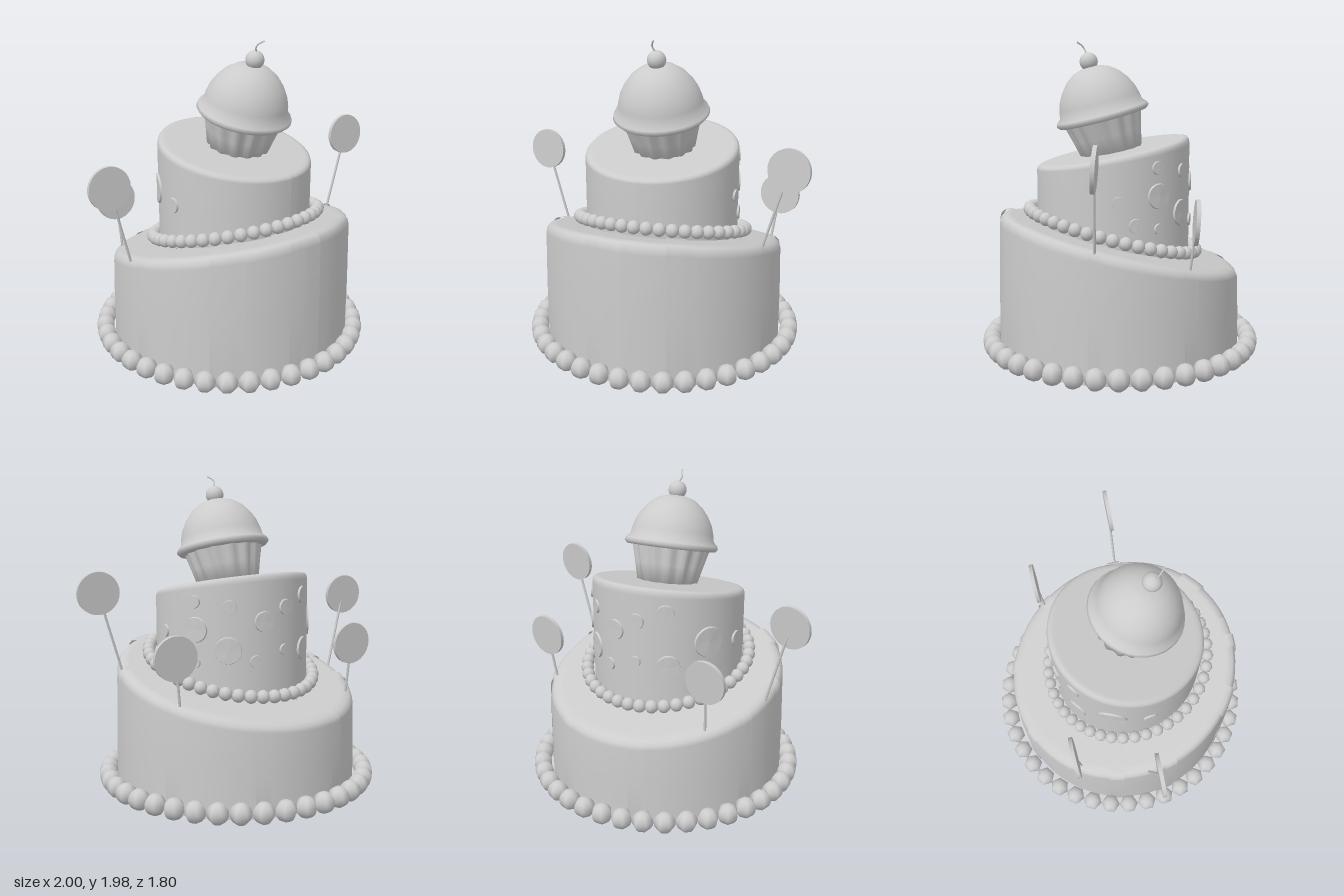
import * as THREE from 'three';

const mat = new THREE.MeshStandardMaterial({ color: 0xcccccc, side: THREE.DoubleSide });
const rad = THREE.MathUtils.degToRad;
const V = (x, y, z) => new THREE.Vector3(x, y, z);

function add(parent, name, geometry, x = 0, y = 0, z = 0) {
  const mesh = new THREE.Mesh(geometry, mat);
  mesh.name = name;
  mesh.position.set(x, y, z);
  parent.add(mesh);
  return mesh;
}

function lathe(points, segments, start = 0, length = Math.PI * 2) {
  return new THREE.LatheGeometry(points.map(p => new THREE.Vector2(...p)), segments, start, length);
}

// Moves every vertex by a rule
function warp(geometry, rule) {
  const p = geometry.attributes.position, v = V(0, 0, 0);
  for (let i = 0; i < p.count; i++) {
    rule(v.fromBufferAttribute(p, i));
    p.setXYZ(i, v.x, v.y, v.z);
  }
  geometry.computeVertexNormals();
  return geometry;
}

// Ring of icing beads lying on a plane that slopes along z
function beadRing(parent, name, count, ringR, beadR, center, slope, sides) {
  const ring = new THREE.Group();
  ring.name = name;
  ring.position.copy(center);
  const geometry = new THREE.SphereGeometry(beadR, sides, 10);
  for (let i = 0; i < count; i++) {
    const a = i / count * Math.PI * 2;
    const z = Math.cos(a) * ringR;
    add(ring, 'icingBead', geometry, Math.sin(a) * ringR, z * slope, z).rotation.y = a;
  }
  parent.add(ring);
}

export function createModel() {
  const cake = new THREE.Group();
  cake.name = 'tieredCake';

  // Lower tier: flat open base, top sloping down to the back
  const H = 0.72;
  const lean = v => { v.y += 0.245 * v.z * v.y / H; };
  const side = [[0.778, 0], [0.776, 0.35], [0.768, 0.66], [0.76, 0.69], [0.742, 0.71], [0.71, 0.72]];
  add(cake, 'lowerTier', warp(lathe([...side, [0.69, 0.72], [0, 0.72]], 64), lean), 0.01, 0, 0.01);

  // Raised fondant strips, folded over the edge of the lower tier
  const strips = [[-53, -38], [-17, -10], [20, 33], [69, 75], [111, 118],
    [151, 158], [190, 197], [242, 249], [270, 276]];
  const outer = [...side, [0.5, 0.72]].map(([r, y]) => [r + 0.009, y + (y > 0.6 ? 0.007 : 0)]);
  for (const [from, to] of strips) {
    const g = lathe([[0.76, 0], ...outer, [0.5, 0.71]], 4, rad(from), rad(to - from));
    add(cake, 'fondantStrip', warp(g, lean), 0.01, 0, 0.01);
  }

  // Upper tier: bottom follows the lower slope, top slopes the other way
  const upper = lathe([[0.49, 0], [0.49, 0.25], [0.49, 0.56], [0.486, 0.58], [0.474, 0.593],
    [0.455, 0.597], [0.44, 0.597], [0, 0.597]], 64);
  const UX = 0.013, UZ = 0.045, UY = 0.7;
  add(cake, 'upperTier', warp(upper, v => { v.y += v.z * THREE.MathUtils.lerp(0.24, -0.2, v.y / 0.597); }), UX, UY, UZ);

  // Bead borders
  beadRing(cake, 'baseBeadBorder', 40, 0.842, 0.066, V(0.012, 0.065, 0), 0, 6);
  beadRing(cake, 'upperBeadBorder', 44, 0.537, 0.042, V(0.018, 0.785, 0.047), 0.26, 8);

  // Round dots on the back of the upper tier: angle, height, radius
  const dots = [[86, 1.02, 0.04], [98, 0.88, 0.045], [115, 1.22, 0.042], [116, 1.05, 0.08],
    [116, 0.85, 0.035], [141, 1.19, 0.045], [140, 0.93, 0.085], [160, 0.86, 0.04],
    [166, 1.1, 0.065], [184, 1.18, 0.05], [183, 0.92, 0.035], [205, 1.24, 0.055],
    [207, 0.9, 0.075], [237, 1.04, 0.1], [266, 1.0, 0.05]];
  for (const [angle, y, r] of dots) {
    const g = new THREE.CylinderGeometry(r * 0.93, r, 0.018, 24, 1);
    g.rotateX(Math.PI / 2);
    // wrap the disc around the tier wall
    warp(g, v => {
      const a = rad(angle) + v.x / 0.49, d = 0.493 + v.z;
      v.set(Math.sin(a) * d, v.y, Math.cos(a) * d);
    });
    add(cake, 'dot', g, UX, y, UZ);
  }

  // Cupcake leaning forward
  const cupcake = new THREE.Group();
  cupcake.name = 'cupcake';
  cupcake.position.set(0.03, 1.27, 0.05);
  cupcake.rotation.x = 0.255;
  cake.add(cupcake);

  // Pleated paper cup
  const cup = warp(lathe([[0, 0], [0.185, 0], [0.215, 0.13], [0.25, 0.27]], 72), v => {
    const k = 1 + 0.045 * Math.cos(Math.atan2(v.x, v.z) * 14);
    v.x *= k;
    v.z *= k;
  });
  add(cupcake, 'paperCup', cup);

  // Domed frosting with a rolled lip
  const dome = [[0.24, 0.235], [0.285, 0.237], [0.302, 0.255], [0.296, 0.275], [0.27, 0.3],
    [0.262, 0.345], [0.245, 0.4], [0.215, 0.455], [0.17, 0.51], [0.115, 0.55], [0.06, 0.568], [0, 0.572]];
  add(cupcake, 'frosting', lathe(dome, 32));
  add(cupcake, 'cherry', new THREE.SphereGeometry(0.058, 20, 14), 0, 0.605, 0);
  const stem = new THREE.CatmullRomCurve3([V(0, 0.65, 0), V(-0.018, 0.69, 0.005), V(-0.012, 0.715, 0.017), V(0.005, 0.738, 0.04)]);
  add(cupcake, 'cherryStem', new THREE.TubeGeometry(stem, 10, 0.005, 6));

  // Lollipops: head centre, stick foot, turn about y
  const pops = [
    [V(-0.867, 1.17, -0.098), V(-0.725, 0.64, -0.1), -0.2],
    [V(0.865, 1.26, 0.267), V(0.71, 0.73, 0.25), -0.2],
    [V(0.71, 0.93, -0.34), V(0.66, 0.58, -0.31), -0.17],
    [V(-0.517, 0.915, -0.525), V(-0.505, 0.55, -0.49), -0.15],
  ];
  for (const [head, foot, turn] of pops) {
    const pop = new THREE.Group();
    pop.name = 'lollipop';
    cake.add(pop);
    const disc = new THREE.CylinderGeometry(0.133, 0.133, 0.024, 32);
    disc.rotateX(Math.PI / 2 - 0.06);
    add(pop, 'lollipopHead', disc, head.x, head.y, head.z).rotation.y = turn;
    const dir = head.clone().sub(foot);
    const mid = head.clone().add(foot).multiplyScalar(0.5);
    const stick = add(pop, 'lollipopStick', new THREE.CylinderGeometry(0.008, 0.008, dir.length(), 8), mid.x, mid.y, mid.z);
    stick.quaternion.setFromUnitVectors(V(0, 1, 0), dir.normalize());
  }

  return cake;
}
